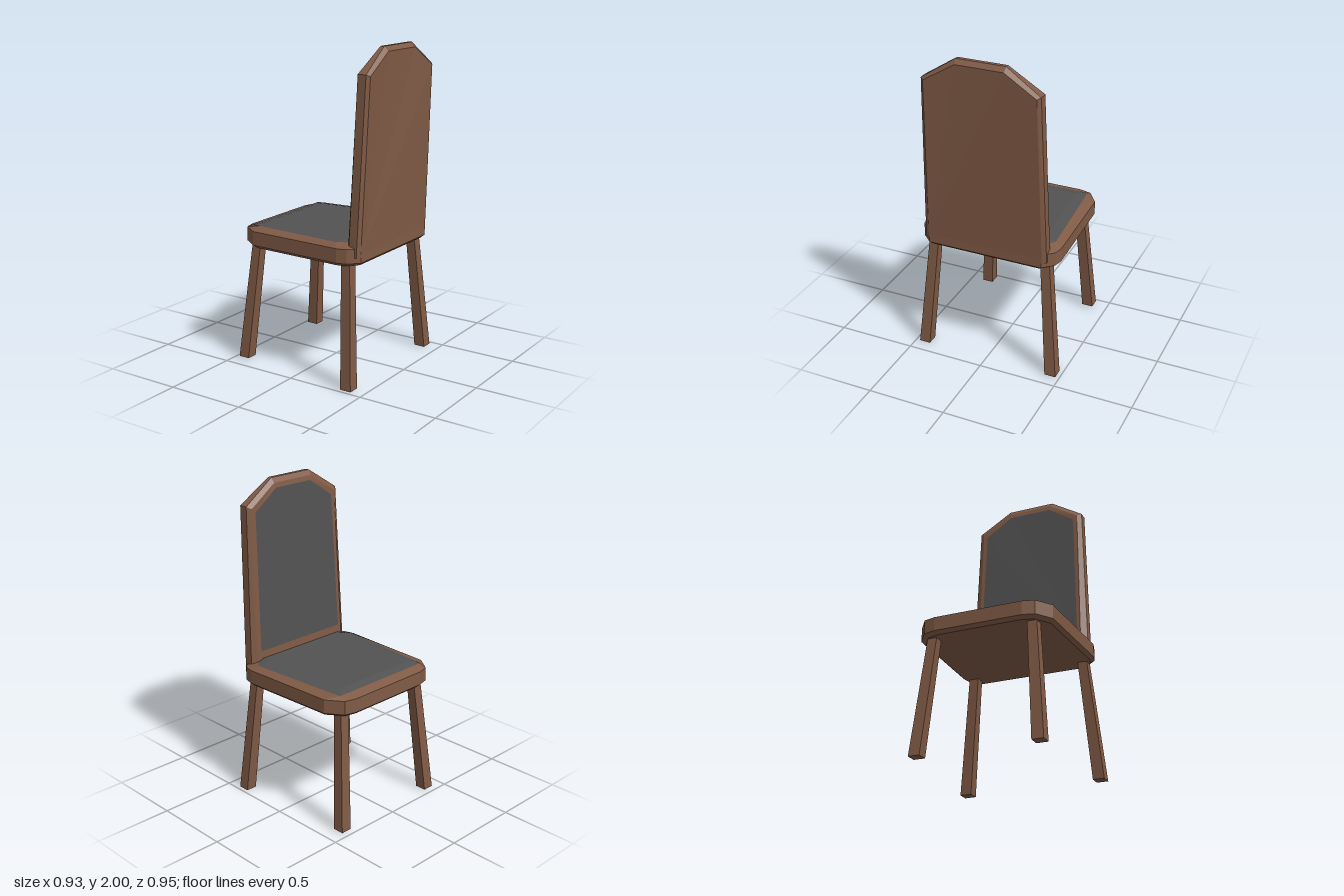
import * as THREE from 'three';

// Mirror half an outline across z = 0 into a closed loop
const mirror = (half) => [
  ...half,
  ...half.slice().reverse().map(([x, y, z]) => [x, y, -z]),
];

// Faceted skin over a stack of loops; each cap is optional
function loft(loops, capStart, capEnd) {
  const pos = [];
  const tri = (a, b, c) => pos.push(...a, ...b, ...c);
  const n = loops[0].length;
  for (let k = 0; k + 1 < loops.length; k++) {
    const lo = loops[k], hi = loops[k + 1];
    for (let i = 0; i < n; i++) {
      const j = (i + 1) % n;
      tri(lo[i], lo[j], hi[j]);
      tri(lo[i], hi[j], hi[i]);
    }
  }
  const first = loops[0], last = loops[loops.length - 1];
  for (let i = 1; i < n - 1; i++) {
    if (capStart) tri(first[0], first[i + 1], first[i]);
    if (capEnd) tri(last[0], last[i], last[i + 1]);
  }
  const g = new THREE.BufferGeometry();
  g.setAttribute('position', new THREE.Float32BufferAttribute(pos, 3));
  g.computeVertexNormals();
  return g;
}

export function createModel() {
  const model = new THREE.Group();
  model.name = 'chair';
  const wood = new THREE.MeshStandardMaterial({ color: 0x805a45 });
  wood.name = 'brown wood';
  const fabric = new THREE.MeshStandardMaterial({ color: 0x525252 });
  fabric.name = 'charcoal fabric';
  const add = (name, geometry, material) => {
    const mesh = new THREE.Mesh(geometry, material);
    mesh.name = name;
    model.add(mesh);
  };

  // Seat: rounded slab, slightly wider towards the backrest
  const outline = [[-0.45, 0.28], [-0.43, 0.355], [-0.33, 0.425], [0.3, 0.45], [0.36, 0.435], [0.42, 0.37]];
  const ring = (y, s) => mirror(outline.map(([x, z]) => [x * s, y, z * s]));
  const cushionEdge = mirror([
    [-0.387, 0.874, 0.28], [-0.387, 0.874, 0.35], [-0.33, 0.875, 0.357],
    [0.27, 0.878, 0.403], [0.32, 0.878, 0.37], [0.385, 0.878, 0.33],
  ]);
  const cushionTop = mirror([
    [-0.33, 0.886, 0.27], [-0.33, 0.886, 0.29], [-0.3, 0.886, 0.3],
    [0.27, 0.892, 0.335], [0.3, 0.892, 0.33], [0.38, 0.892, 0.31],
  ]);
  add('seatFrame', loft([ring(0.748, 0.95), ring(0.768, 1), ring(0.855, 1), cushionEdge], true, false), wood);
  add('seatCushion', loft([cushionEdge, cushionTop], false, true), fabric);

  // Backrest: leaning bevelled board, stacked from its rear to its padded face
  const rear = mirror([[0.419, 0.8, 0.375], [0.462, 1.85, 0.35], [0.455, 1.972, 0.15]]);
  const sideRear = mirror([[0.405, 0.8, 0.4], [0.445, 1.86, 0.37], [0.43, 2, 0.155]]);
  const sideFront = mirror([[0.35, 0.8, 0.4], [0.39, 1.86, 0.37], [0.405, 2, 0.155]]);
  const face = mirror([[0.321, 0.8, 0.36], [0.372, 1.845, 0.342], [0.385, 1.97, 0.15]]);
  const panelEdge = mirror([[0.328, 0.94, 0.335], [0.371, 1.82, 0.315], [0.379, 1.94, 0.14]]);
  add('backrestFrame', loft([rear, sideRear, sideFront, face, panelEdge], true, false), wood);
  add('backrestPad', loft([panelEdge], false, true), fabric);

  // Legs: square posts splayed outwards, as [x centre, z centre] at foot and top
  const legs = [
    { name: 'frontLeg', foot: [-0.432, 0.375], top: [-0.362, 0.318], y: 0.01 },
    { name: 'backLeg', foot: [0.38, 0.438], top: [0.33, 0.37], y: 0 },
  ];
  for (const { name, foot, top, y } of legs) {
    for (const side of [1, -1]) {
      const square = ([x, z], h, r) =>
        [[-r, r], [r, r], [r, -r], [-r, -r]].map(([dx, dz]) => [x + dx, h, side * z + dz]);
      add(name + (side > 0 ? 'A' : 'B'), loft([square(foot, y, 0.036), square(top, 0.77, 0.03)], true, true), wood);
    }
  }
  return model;
}
